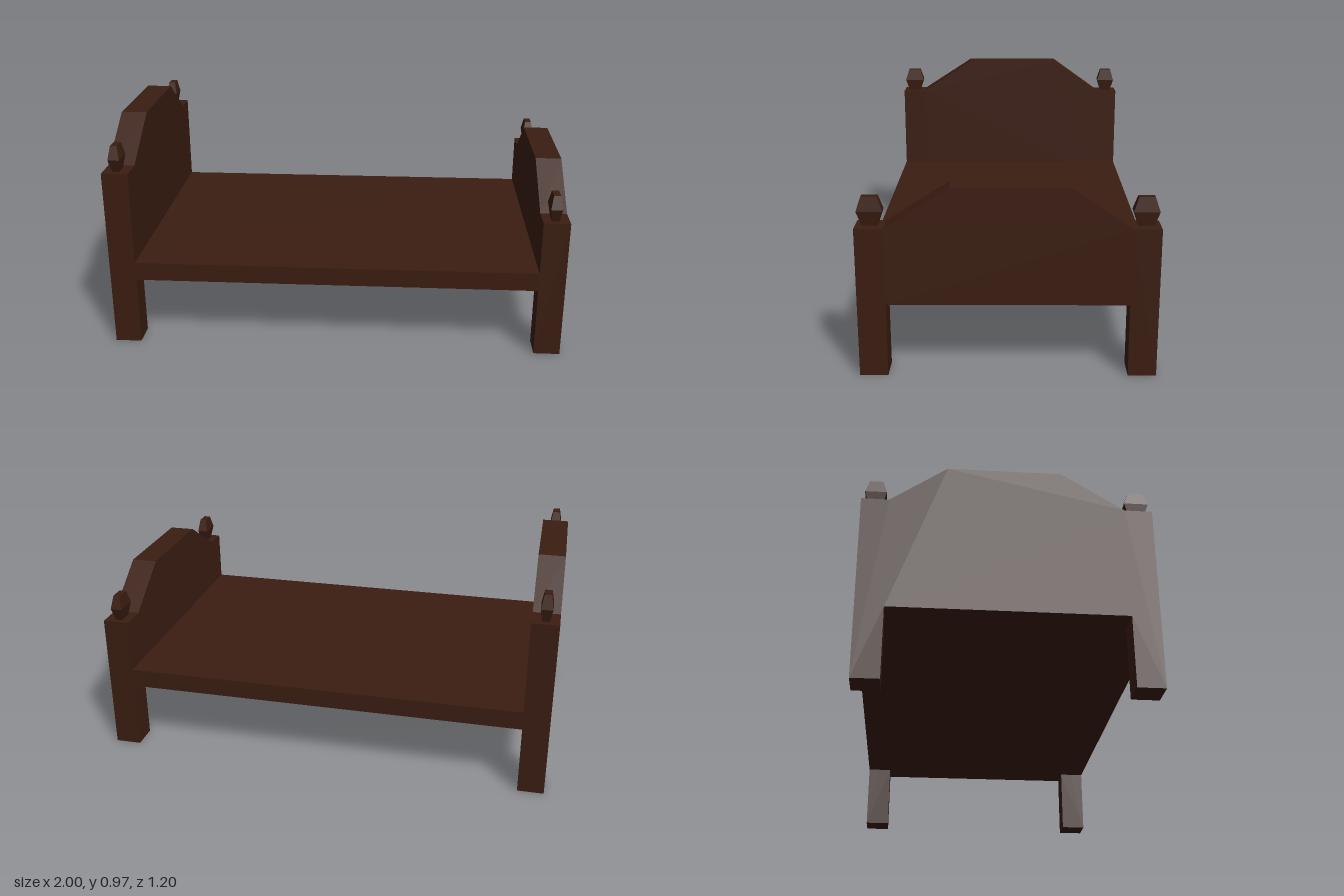
import * as THREE from 'three';

const wood = new THREE.MeshStandardMaterial({ color: 0x3b1d11, flatShading: true });
const THICK = 0.115;

// End board with its two legs; the outline is drawn in z (across) and y (up)
function endBoard(name, shoulder, crest, xMax) {
  const outline = new THREE.Shape([
    [-0.6, 0], [-0.485, 0], [-0.485, 0.308], [0.485, 0.308], [0.485, 0], [0.6, 0],
    [0.6, shoulder], [0.485, shoulder], [0.225, crest], [-0.25, crest],
    [-0.485, shoulder], [-0.6, shoulder],
  ].map(([z, y]) => new THREE.Vector2(z, y)));
  const geometry = new THREE.ExtrudeGeometry(outline, { depth: THICK, bevelEnabled: false });
  geometry.rotateY(-Math.PI / 2);
  const mesh = new THREE.Mesh(geometry, wood);
  mesh.name = name;
  mesh.position.x = xMax;
  return mesh;
}

// Faceted knob: a box pinched at top and bottom, widest at the middle
function finial(x, y, z, width) {
  const height = 0.117;
  const geometry = new THREE.BoxGeometry(0.05, height, width, 1, 2, 1);
  const p = geometry.attributes.position;
  for (let i = 0; i < p.count; i++) {
    if (Math.abs(p.getY(i)) > 0.01) {
      p.setX(i, p.getX(i) * 0.6);
      p.setZ(i, p.getZ(i) * 0.62);
    }
  }
  geometry.computeVertexNormals();
  const mesh = new THREE.Mesh(geometry, wood);
  mesh.name = 'finial';
  mesh.position.set(x, y + height / 2, z);
  return mesh;
}

export function createModel() {
  const bed = new THREE.Group();
  bed.name = 'bed';

  // Headboard and lower footboard
  bed.add(endBoard('headboard', 0.805, 0.973, -1 + THICK));
  bed.add(endBoard('footboard', 0.625, 0.79, 1));

  // Sleeping platform between the boards
  const platform = new THREE.Mesh(new THREE.BoxGeometry(2 - 2 * THICK, 0.082, 1.2), wood);
  platform.name = 'platform';
  platform.position.y = 0.349;
  bed.add(platform);

  // Knobs on the four posts
  for (const side of [1, -1]) {
    bed.add(finial(-0.943, 0.805, side * 0.543, side > 0 ? 0.1 : 0.09));
    bed.add(finial(0.938, 0.625, side * 0.542, 0.104));
  }
  return bed;
}
